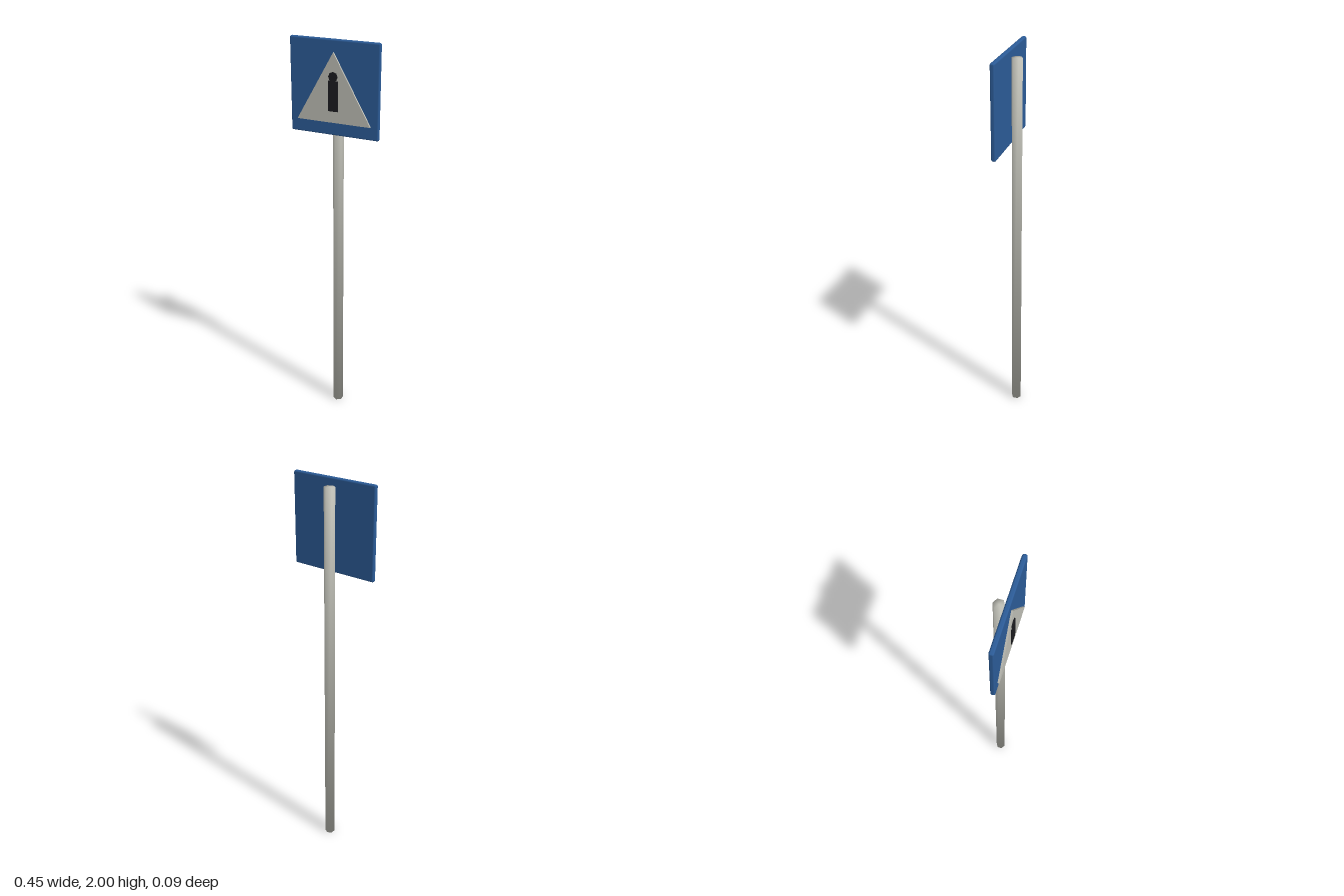
import * as THREE from 'three';
import { RoundedBoxGeometry } from 'three/addons/geometries/RoundedBoxGeometry.js';

const paint = (name, color) => {
  const m = new THREE.MeshStandardMaterial({ color });
  m.name = name;
  return m;
};

export function createModel() {
  const sign = new THREE.Group();
  sign.name = 'crossingSign';
  const grey = paint('pale grey', 0xbfbfb6);
  const blue = paint('sign blue', 0x2c5c98);
  const black = paint('black', 0x1c1c20);

  const add = (name, geometry, material, x, y, z) => {
    const mesh = new THREE.Mesh(geometry, material);
    mesh.name = name;
    mesh.position.set(x, y, z);
    sign.add(mesh);
    return mesh;
  };

  // Hexagonal pole with normals blended softly over rims and caps
  const radius = 0.026, height = 1.965;
  const poleGeo = new THREE.CylinderGeometry(radius, radius, height, 6);
  const pos = poleGeo.attributes.position, normal = new THREE.Vector3();
  for (let i = 0; i < pos.count; i++) {
    normal.set(pos.getX(i) / radius, 0.75 * Math.sign(pos.getY(i)), pos.getZ(i) / radius).normalize();
    poleGeo.attributes.normal.setXYZ(i, normal.x, normal.y, normal.z);
  }
  add('pole', poleGeo, grey, 0, height / 2, -0.02);

  // Square board with bevelled edges
  add('board', new RoundedBoxGeometry(0.452, 0.447, 0.023, 1, 0.008), blue, 0, 1.7765, 0.0185);

  // Raised triangle
  const outline = new THREE.Shape([
    new THREE.Vector2(-0.188, 1.617),
    new THREE.Vector2(0.188, 1.617),
    new THREE.Vector2(0, 1.943),
  ]);
  add('triangle', new THREE.ExtrudeGeometry(outline, { depth: 0.009, bevelEnabled: false }), grey, 0, 0, 0.0295);

  // Simple standing figure: body plate and head disc
  add('figureBody', new THREE.BoxGeometry(0.048, 0.142, 0.005), black, 0, 1.743, 0.0405);
  const head = add('figureHead', new THREE.CylinderGeometry(0.023, 0.023, 0.005, 8), black, 0, 1.833, 0.0405);
  head.rotation.x = Math.PI / 2;

  return sign;
}
